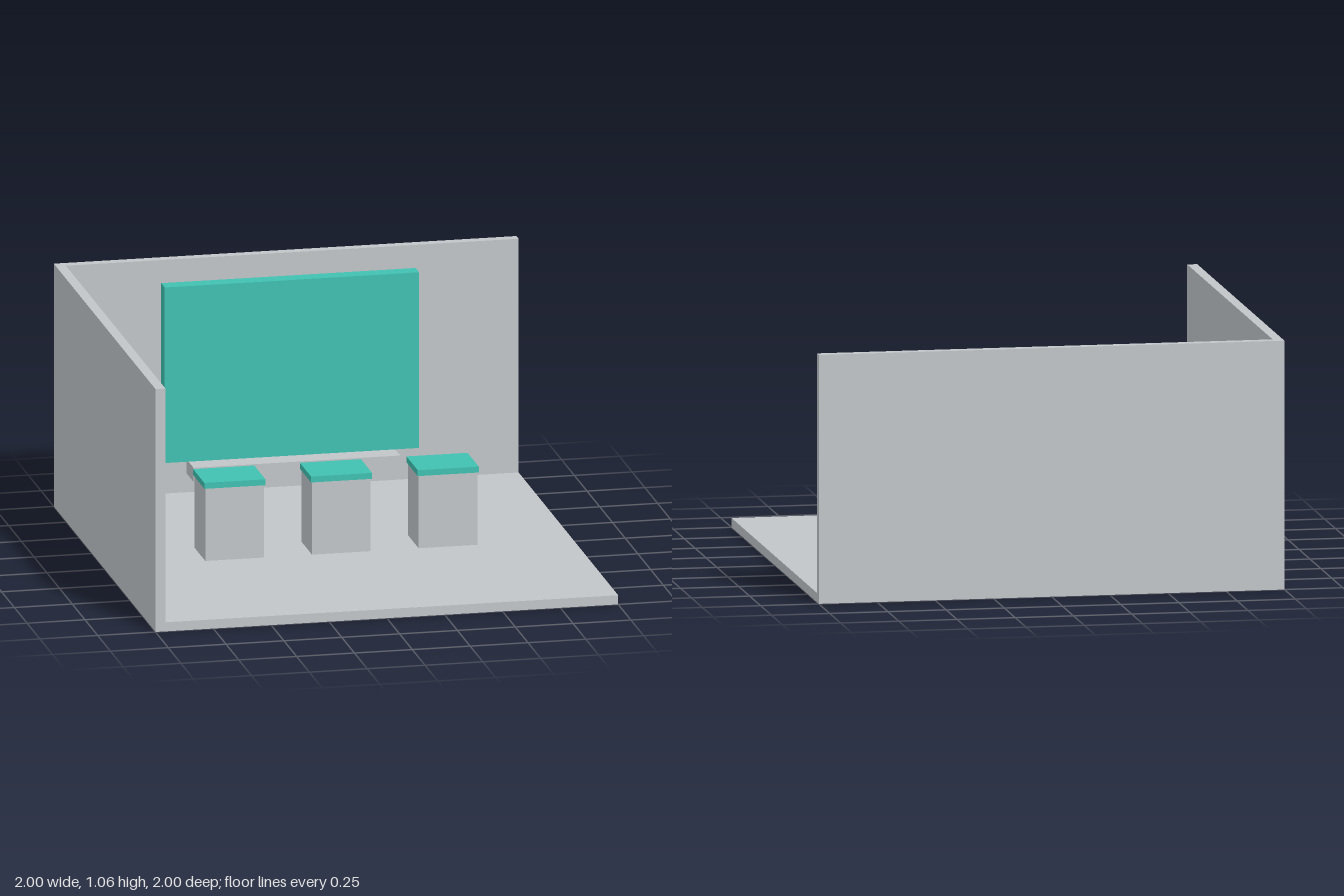
import * as THREE from 'three';

export function createModel() {
  const model = new THREE.Group();
  const grey = new THREE.MeshStandardMaterial({ color: 0xc1c5c8 });
  grey.name = 'light grey';
  const teal = new THREE.MeshStandardMaterial({ color: 0x40c1b1 });
  teal.name = 'teal';

  // Box given by its lower and upper limits on each axis
  function addBox(parent, name, material, [x0, x1], [y0, y1], [z0, z1]) {
    const mesh = new THREE.Mesh(new THREE.BoxGeometry(x1 - x0, y1 - y0, z1 - z0), material);
    mesh.position.set((x0 + x1) / 2, (y0 + y1) / 2, (z0 + z1) / 2);
    mesh.name = name;
    parent.add(mesh);
  }

  // Room shell: floor and two walls meeting in the back corner
  const floorTop = 0.04, wallTop = 1.065, inner = -0.957;
  addBox(model, 'floor', grey, [-1, 1], [0, floorTop], [-1, 1]);
  addBox(model, 'backWall', grey, [-1, 1], [floorTop, wallTop], [-1, inner]);
  addBox(model, 'sideWall', grey, [-1, inner], [floorTop, wallTop], [inner, 1]);

  // Display panel with the ledge below it
  addBox(model, 'displayPanel', teal, [-0.55, 0.55], [0.2, 0.97], [-0.935, -0.865]);
  addBox(model, 'ledge', grey, [-0.447, 0.447], [0.138, 0.2], [-0.91, -0.767]);

  // Row of three pedestals with overhanging tops
  for (const x of [-0.461, 0, 0.461]) {
    const pedestal = new THREE.Group();
    pedestal.name = 'pedestal';
    pedestal.position.x = x;
    addBox(pedestal, 'pedestalBase', grey, [-0.127, 0.127], [floorTop, 0.358], [-0.105, 0.105]);
    addBox(pedestal, 'pedestalTop', teal, [-0.132, 0.132], [0.358, 0.384], [-0.11, 0.11]);
    model.add(pedestal);
  }
  return model;
}
